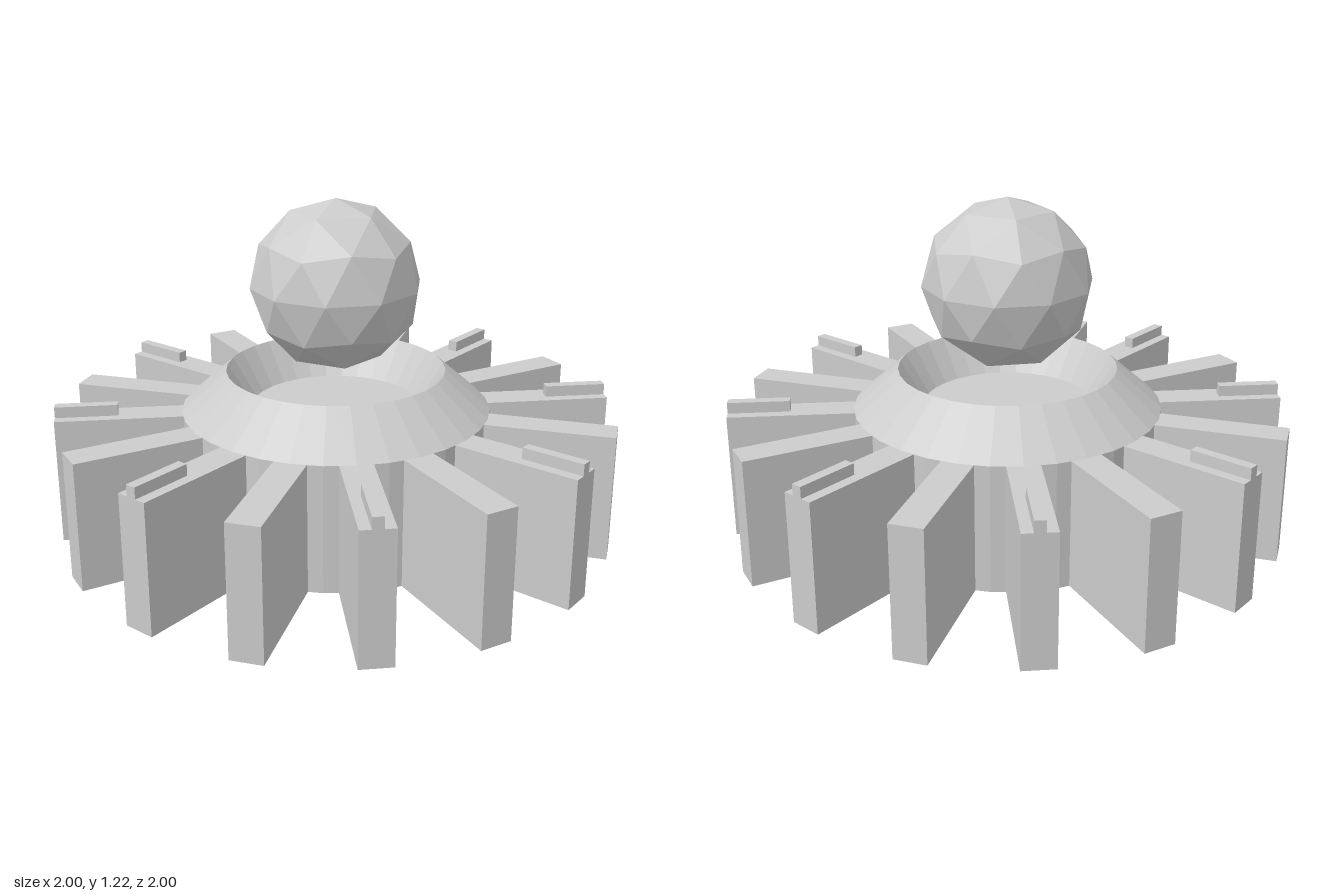
import * as THREE from 'three';

const SIDES = 32, FINS = 16;
const FIN_TOP = 0.46, HUB_RADIUS = 0.555;

export function createModel() {
  const model = new THREE.Group();
  const material = new THREE.MeshStandardMaterial({ color: 0xcccccc, flatShading: true });

  function add(name, geometry, parent = model) {
    const mesh = new THREE.Mesh(geometry, material);
    mesh.name = name;
    parent.add(mesh);
    return mesh;
  }

  // Central drum
  add('hub', new THREE.CylinderGeometry(HUB_RADIUS, HUB_RADIUS, FIN_TOP, SIDES)
    .translate(0, FIN_TOP / 2, 0));

  // Sloped collar with a sharp rim around an open bowl
  const profile = [[HUB_RADIUS, FIN_TOP], [0.393, 0.603], [0.305, FIN_TOP]]
    .map(([r, y]) => new THREE.Vector2(r, y));
  add('collar', new THREE.LatheGeometry(profile, SIDES));

  // Faceted ball, turned so that one corner points straight up
  const tilt = Math.PI / 2 - Math.atan((1 + Math.sqrt(5)) / 2);
  add('ball', new THREE.IcosahedronGeometry(0.305, 1).rotateZ(-tilt).translate(0, 0.911, 0));

  // Radial fins; every second one carries a small bar at its outer end
  const inner = 0.5, barInner = 0.78;
  const finGeometry = new THREE.BoxGeometry(1 - inner, FIN_TOP, 0.113)
    .translate((1 + inner) / 2, FIN_TOP / 2, 0);
  const barGeometry = new THREE.BoxGeometry(1 - barInner, 0.04, 0.037)
    .translate((1 + barInner) / 2, FIN_TOP + 0.02, 0);
  for (let i = 0; i < FINS; i++) {
    const spoke = new THREE.Group();
    spoke.name = 'spoke' + (i + 1);
    spoke.rotation.y = (i / FINS) * Math.PI * 2;
    add('fin', finGeometry, spoke);
    if (i % 2) add('finBar', barGeometry, spoke);
    model.add(spoke);
  }

  return model;
}
